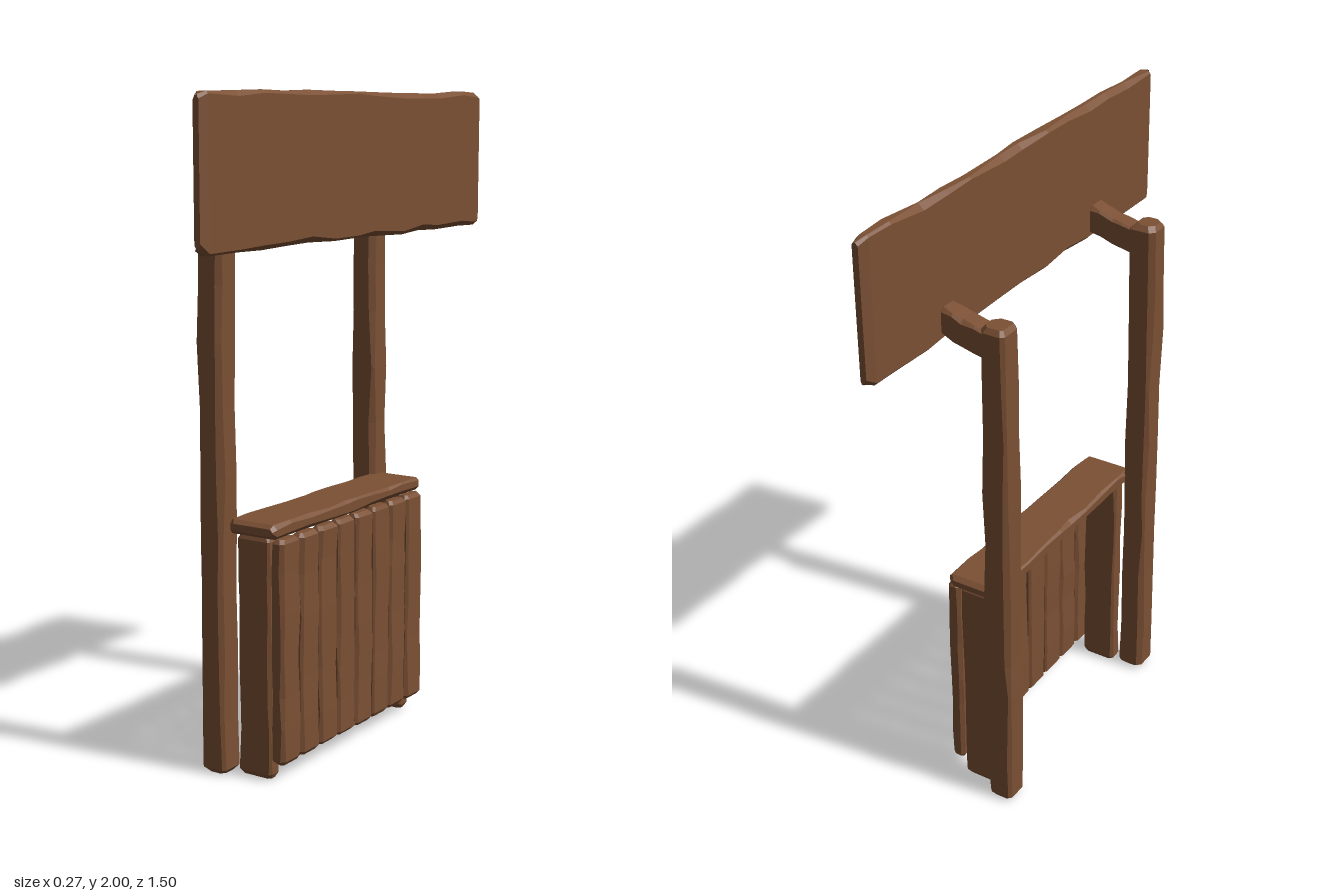
import * as THREE from 'three';

const wood = new THREE.MeshStandardMaterial({ color: 0x7b5034, flatShading: true });

// Small seeded generator for the hand-hewn irregularities
let seed = 11;
const rand = () => (seed = (seed * 16807) % 2147483647) / 2147483647;

// Rough-hewn board: chamfered eight-sided section lofted along one axis.
// x, y, z are [min, max]; axis is the grain direction.
function board(name, x, y, z, axis, { c = 0.012, end = 0.015, steps = 7, rough = 0.004, lift = 0 } = {}) {
  const r = [x, y, z];
  const k = { x: 0, y: 1, z: 2 }[axis];
  const iu = (k + 1) % 3, iv = (k + 2) % 3;
  const [u0, u1] = r[iu], [v0, v1] = r[iv], [w0, w1] = r[k];

  const stations = [[w0, c], [w0 + end, 0]];
  for (let i = 1; i < steps; i++) {
    stations.push([w0 + end + (w1 - w0 - 2 * end) * (i + (rand() - 0.5) * 0.5) / steps, 0]);
  }
  stations.push([w1 - end, 0], [w1, c]);

  const pos = [], idx = [];
  const put = (u, v, w) => {
    const p = [0, 0, 0];
    p[iu] = u; p[iv] = v; p[k] = w;
    p[1] += lift * (w - w0) / (w1 - w0);
    pos.push(...p);
  };
  for (const [w, inset] of stations) {
    const wear = () => inset + rand() * rough;
    const a0 = u0 + wear(), a1 = u1 - wear(), b0 = v0 + wear(), b1 = v1 - wear();
    const ch = [0, 1, 2, 3].map(() => c * (0.5 + rand()));
    put(a0 + ch[0], b0, w); put(a1 - ch[1], b0, w);
    put(a1, b0 + ch[1], w); put(a1, b1 - ch[2], w);
    put(a1 - ch[2], b1, w); put(a0 + ch[3], b1, w);
    put(a0, b1 - ch[3], w); put(a0, b0 + ch[0], w);
  }
  const n = stations.length;
  for (let s = 0; s < n - 1; s++) {
    for (let i = 0; i < 8; i++) {
      const a = s * 8 + i, b = s * 8 + (i + 1) % 8;
      idx.push(a, b, b + 8, a, b + 8, a + 8);
    }
  }
  // End caps
  for (let i = 1; i < 7; i++) {
    const t = (n - 1) * 8;
    idx.push(0, i + 1, i, t, t + i, t + i + 1);
  }
  const geo = new THREE.BufferGeometry();
  geo.setAttribute('position', new THREE.Float32BufferAttribute(pos, 3));
  geo.setIndex(idx);
  geo.computeVertexNormals();
  const mesh = new THREE.Mesh(geo, wood);
  mesh.name = name;
  return mesh;
}

export function createModel() {
  const stall = new THREE.Group();
  stall.name = 'marketStall';

  // Overhead sign board
  stall.add(board('signBoard', [0.085, 0.135], [1.565, 2], [-0.75, 0.75], 'z',
    { c: 0.012, end: 0.03, steps: 12, rough: 0.008 }));

  // Posts, sign brackets and counter side panels
  for (const side of [1, -1]) {
    const label = side > 0 ? 'front' : 'back';
    const span = (a, b) => (side > 0 ? [a, b] : [-b, -a]);
    const dx = side > 0 ? 0 : 0.017;
    stall.add(board(label + 'Post', [-0.14 + dx, -0.05 + dx], [0, 1.655], span(0.352, 0.445), 'y',
      { c: 0.013, steps: 9, rough: 0.005 }));
    stall.add(board(label + 'Bracket', [-0.07, 0.095], [1.545, 1.635], span(0.36, 0.437), 'x',
      { c: 0.01, end: 0.01, steps: 4, rough: 0.005, lift: 0.045 }));
    stall.add(board(label + 'SidePanel', [-0.035, 0.084], [0, 0.735], span(0.342, 0.395), 'y',
      { c: 0.008, steps: 6 }));
  }

  // Counter top
  stall.add(board('counterTop', [-0.06, 0.112], [0.73, 0.777], [-0.415, 0.405], 'z',
    { c: 0.01, steps: 9, rough: 0.005 }));

  // Vertical planks across the counter front
  const planks = new THREE.Group();
  planks.name = 'counterPlanks';
  for (let i = 0; i < 8; i++) {
    const z = -0.398 + i * 0.0995;
    planks.add(board('plank' + (i + 1), [0.085, 0.132], [0.053, 0.732], [z + 0.001, z + 0.0985], 'y',
      { c: 0.009, end: 0.012, steps: 6, rough: 0.004 }));
  }
  stall.add(planks);

  return stall;
}
